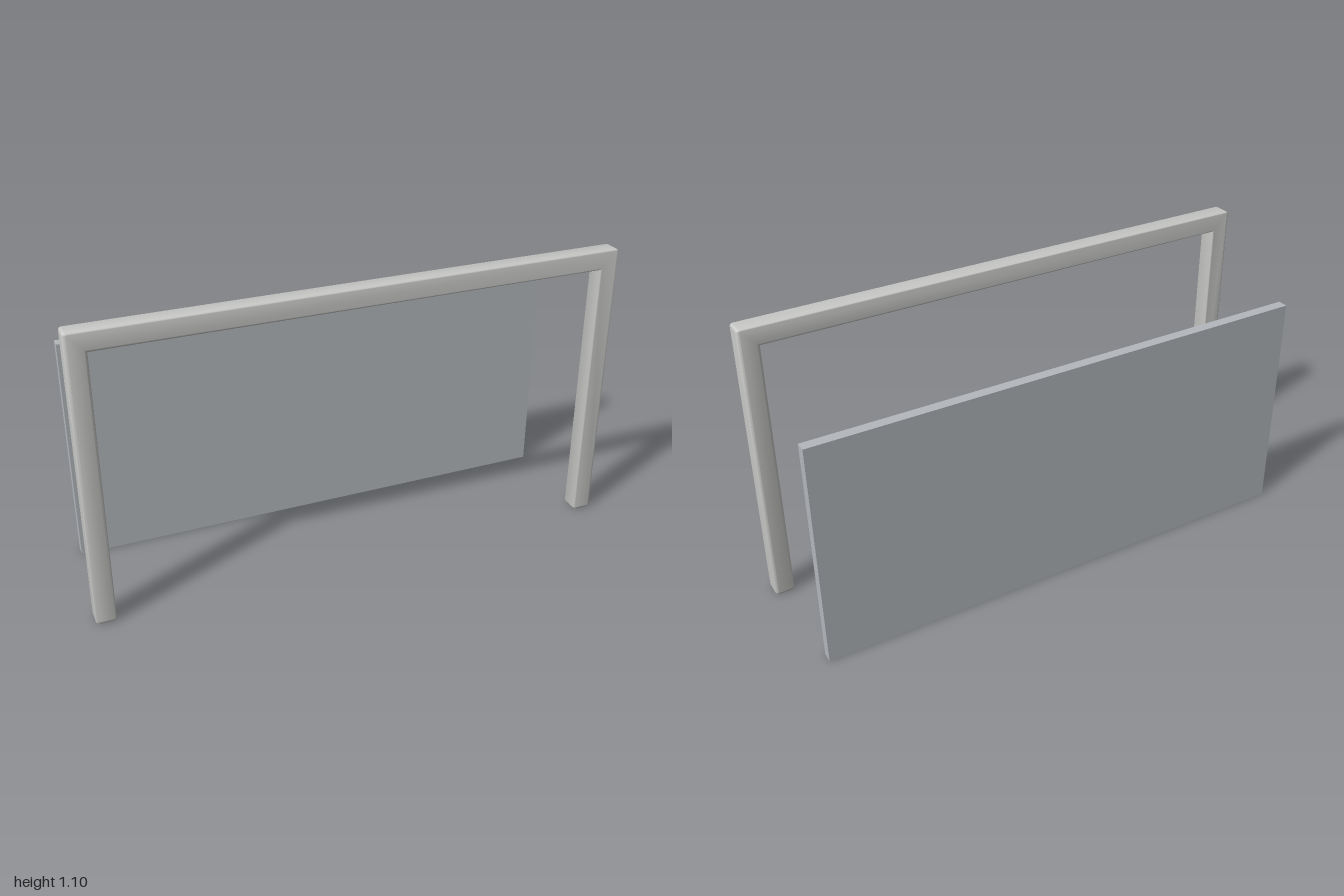
import * as THREE from 'three';
import { toCreasedNormals } from 'three/addons/utils/BufferGeometryUtils.js';

const FRAME = { halfWidth: 1, height: 1.095, bar: 0.073, front: 0.245 };
const BEVEL = 0.01;

// Upside-down U outline; the radius of each point rounds its corner
function frameShape() {
  const { halfWidth: w, height: h, bar: t } = FRAME;
  const r = 0.013;
  const points = [
    [-w, 0, r], [-w + t, 0, r], [-w + t, h - t, 0], [w - t, h - t, 0],
    [w - t, 0, r], [w, 0, r], [w, h, r], [-w, h, r],
  ].map(([x, y, radius]) => ({ p: new THREE.Vector2(x, y), radius }));
  const shape = new THREE.Shape();
  points.forEach(({ p, radius }, i) => {
    const toward = (q) => q.clone().sub(p).setLength(radius).add(p);
    const n = points.length;
    const a = radius ? toward(points[(i + n - 1) % n].p) : p;
    const b = radius ? toward(points[(i + 1) % n].p) : p;
    if (i === 0) shape.moveTo(a.x, a.y);
    else shape.lineTo(a.x, a.y);
    if (radius) shape.quadraticCurveTo(p.x, p.y, b.x, b.y);
  });
  shape.closePath();
  return shape;
}

export function createModel() {
  const model = new THREE.Group();
  model.name = 'frameAndPanel';

  const frameGrey = new THREE.MeshStandardMaterial({ color: 0xc8c8c6 });
  frameGrey.name = 'light grey';
  const panelGrey = new THREE.MeshStandardMaterial({ color: 0xb4b8bd });
  panelGrey.name = 'blue grey';

  // Square-section frame: two legs and a top bar with softened edges
  const frameGeometry = new THREE.ExtrudeGeometry(frameShape(), {
    depth: FRAME.bar - 2 * BEVEL,
    curveSegments: 4,
    bevelEnabled: true,
    bevelThickness: BEVEL,
    bevelSize: BEVEL,
    bevelOffset: -BEVEL,
    bevelSegments: 4,
  });
  const frame = new THREE.Mesh(toCreasedNormals(frameGeometry, 0.7), frameGrey);
  frame.name = 'frame';
  frame.position.z = FRAME.front - FRAME.bar + BEVEL;
  model.add(frame);

  // Flat panel standing behind the frame
  const panel = new THREE.Mesh(new THREE.BoxGeometry(1.924, 0.868, 0.039), panelGrey);
  panel.name = 'backPanel';
  panel.position.set(0, 0.434, -0.2255);
  model.add(panel);

  return model;
}
